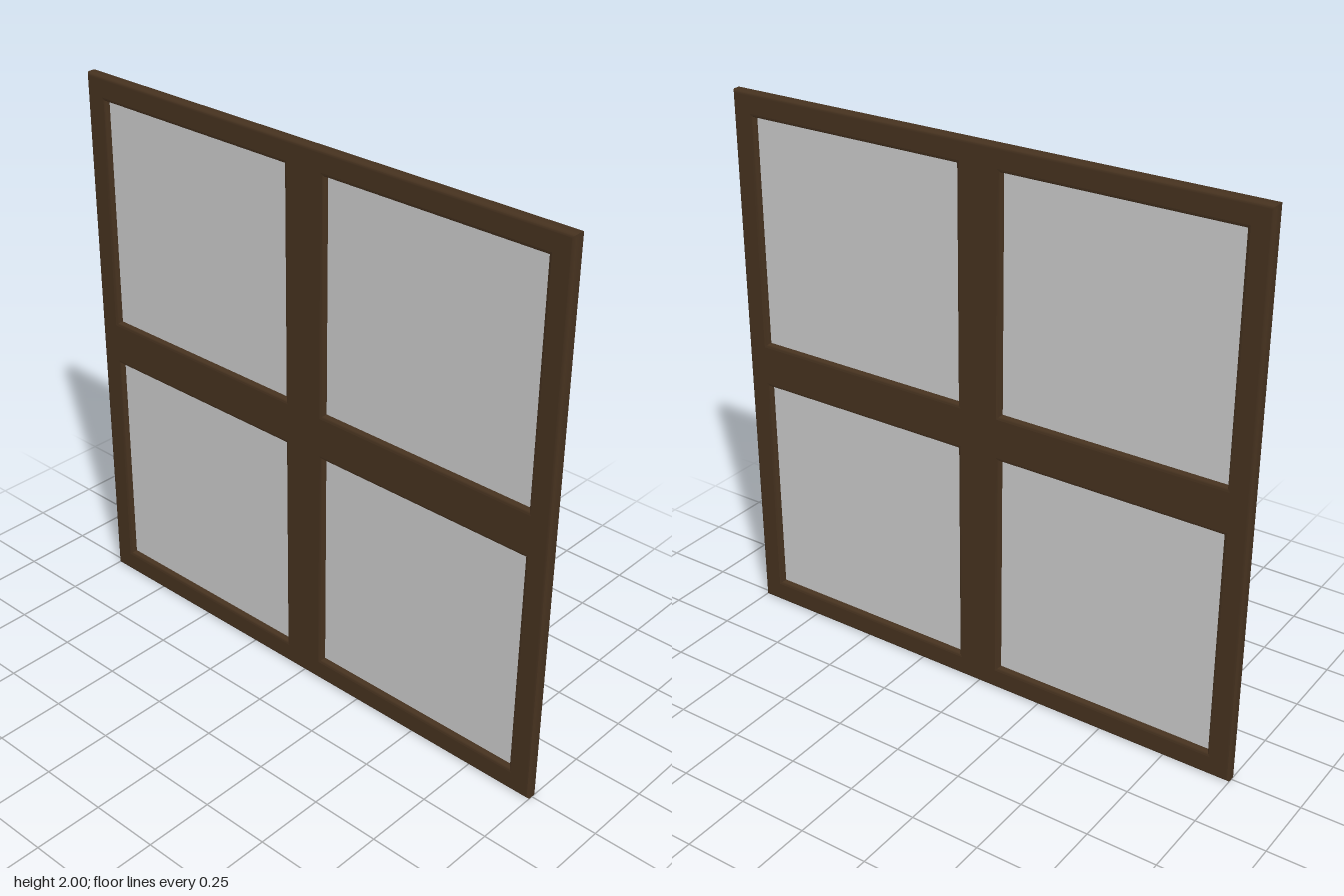
import * as THREE from 'three';
import { toCreasedNormals } from 'three/addons/utils/BufferGeometryUtils.js';

const HALF = 1;          // half of the outer size
const THICK = 0.045;     // frame depth
const BEVEL = 0.012;     // rounded edge
const BORDER = 0.085;    // outer rail width
const BAR = 0.083;       // half width of the cross bars

function rect(path, x0, y0, x1, y1) {
  path.moveTo(x0, y0);
  path.lineTo(x1, y0);
  path.lineTo(x1, y1);
  path.lineTo(x0, y1);
  path.closePath();
  return path;
}

// Rounded edges blend smoothly, the two broad faces stay flat
function smoothEdges(geometry) {
  const g = toCreasedNormals(geometry, 0.8);
  const p = g.attributes.position, n = g.attributes.normal;
  const limit = THICK / 2 - 1e-4;
  for (let i = 0; i < p.count; i += 3) {
    const z = [0, 1, 2].map(k => p.getZ(i + k));
    if (z.every(v => Math.abs(v) > limit)) {
      for (let k = 0; k < 3; k++) n.setXYZ(i + k, 0, 0, Math.sign(z[0]));
    }
  }
  return g;
}

export function createModel() {
  const model = new THREE.Group();
  model.name = 'window';
  const wood = new THREE.MeshStandardMaterial({ color: 0x46321f });
  const glass = new THREE.MeshStandardMaterial({ color: 0xcccccc, side: THREE.DoubleSide });

  // Frame with four square openings
  const outline = rect(new THREE.Shape(), -HALF, -HALF, HALF, HALF);
  const inner = HALF - BORDER;
  const size = inner - BAR;
  const centre = (inner + BAR) / 2;
  for (const sx of [-1, 1]) {
    for (const sy of [-1, 1]) {
      const x = sx * centre, y = sy * centre, h = size / 2;
      outline.holes.push(rect(new THREE.Path(), x - h, y - h, x + h, y + h));

      // Thin pane, tucked slightly into the frame
      const pane = new THREE.Mesh(new THREE.PlaneGeometry(size + 0.02, size + 0.02), glass);
      pane.name = `${sy > 0 ? 'upper' : 'lower'}${sx > 0 ? 'Back' : 'Front'}Pane`;
      pane.rotation.y = Math.PI / 2;
      pane.position.set(0, HALF + y, -x);
      model.add(pane);
    }
  }
  const body = new THREE.ExtrudeGeometry(outline, {
    depth: THICK - 2 * BEVEL,
    bevelThickness: BEVEL,
    bevelSize: BEVEL,
    bevelOffset: -BEVEL,
    bevelSegments: 3,
  });
  body.translate(0, 0, -(THICK - 2 * BEVEL) / 2);
  const frame = new THREE.Mesh(smoothEdges(body), wood);
  frame.name = 'frame';
  frame.rotation.y = Math.PI / 2;
  frame.position.y = HALF;
  model.add(frame);

  return model;
}
